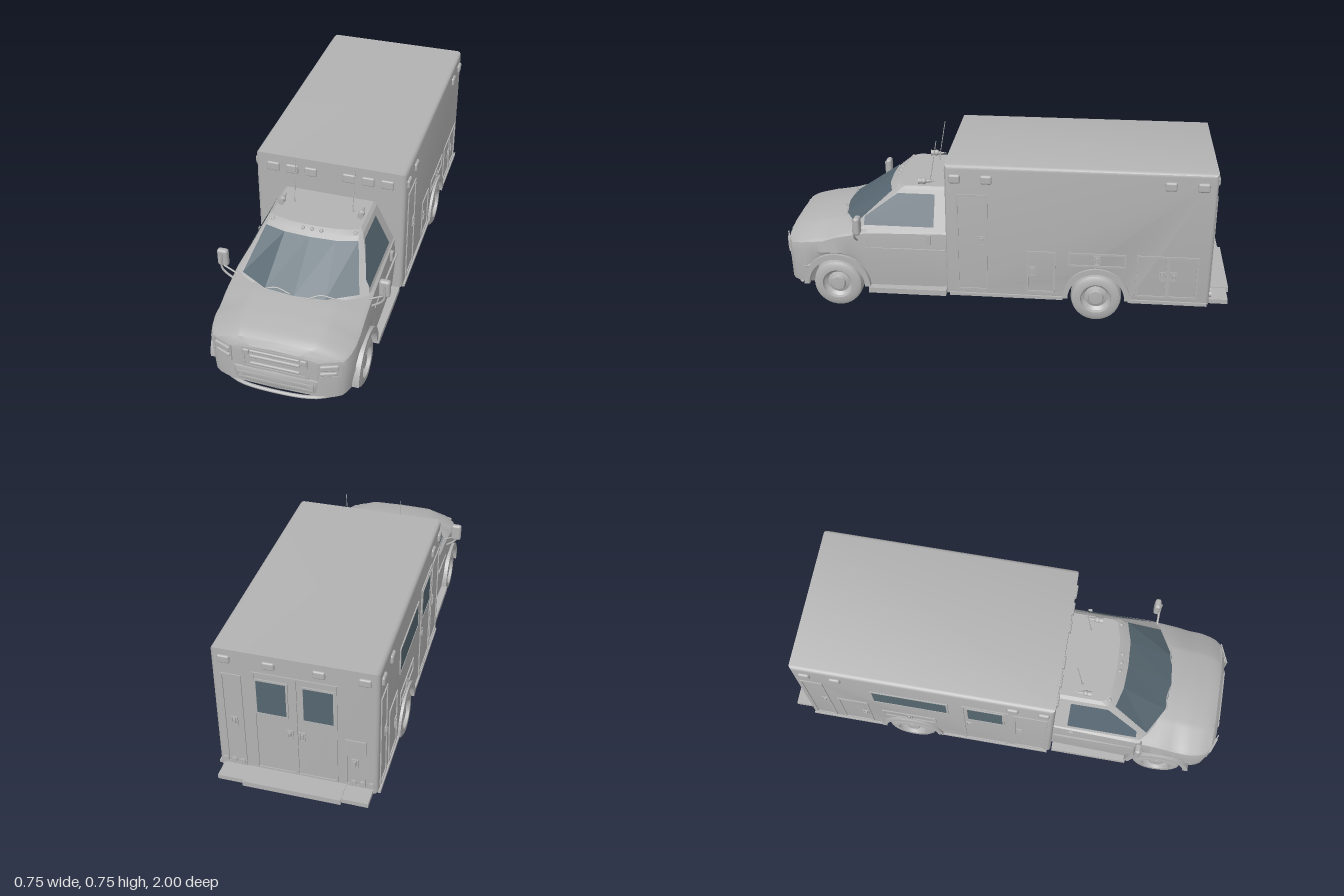
import * as THREE from 'three';
import { toCreasedNormals } from 'three/addons/utils/BufferGeometryUtils.js';
import { RoundedBoxGeometry } from 'three/addons/geometries/RoundedBoxGeometry.js';

const V = (x, y, z) => new THREE.Vector3(x, y, z);

// piecewise linear lookup in [[t, value], ...]
function lerpTable(t, table) {
  for (let i = 1; i < table.length; i++) {
    const [a, va] = table[i - 1], [b, vb] = table[i];
    if (t <= b) return va + (vb - va) * Math.max(0, (t - a) / (b - a));
  }
  return table[table.length - 1][1];
}

// half outline (first and last point on the centre line) to a closed mirrored ring
const mirrorRing = (half) => [...half, ...half.slice(1, -1).reverse().map((p) => V(-p.x, p.y, p.z))];

// skin over rings, with both ends closed
function loft(rings, crease = 0.5) {
  const pos = [];
  const tri = (...pts) => pts.forEach((p) => pos.push(p.x, p.y, p.z));
  const n = rings[0].length;
  for (let r = 0; r + 1 < rings.length; r++) {
    for (let i = 0; i < n; i++) {
      const j = (i + 1) % n, a = rings[r], b = rings[r + 1];
      tri(a[i], a[j], b[j]);
      tri(a[i], b[j], b[i]);
    }
  }
  [rings[0], rings[rings.length - 1]].forEach((ring, end) => {
    const c = ring.reduce((s, p) => s.add(p), V(0, 0, 0)).divideScalar(n);
    for (let i = 0; i < n; i++) {
      const p = ring[i], q = ring[(i + 1) % n];
      if (end) tri(c, p, q); else tri(c, q, p);
    }
  });
  const g = new THREE.BufferGeometry();
  g.setAttribute('position', new THREE.Float32BufferAttribute(pos, 3));
  return toCreasedNormals(g, crease);
}

export function createModel() {
  const model = new THREE.Group();
  const body = new THREE.MeshStandardMaterial({ color: 0xb2b2b2, side: THREE.DoubleSide });
  body.name = 'body grey';
  const glass = new THREE.MeshStandardMaterial({ color: 0x566670, side: THREE.DoubleSide });
  glass.name = 'window glass';

  const add = (name, geo, mat = body, parent = model, x = 0, y = 0, z = 0) => {
    const m = new THREE.Mesh(geo, mat);
    m.name = name;
    m.position.set(x, y, z);
    parent.add(m);
    return m;
  };
  const box = (name, w, h, d, x, y, z, parent = model, mat = body) =>
    add(name, new THREE.BoxGeometry(w, h, d), mat, parent, x, y, z);
  const pad = (name, w, h, d, x, y, z, parent = model) =>
    add(name, new RoundedBoxGeometry(w, h, d, 2, Math.min(w, h, d) * 0.4), body, parent, x, y, z);
  const tube = (name, pts, r, parent = model) =>
    add(name, new THREE.TubeGeometry(new THREE.CatmullRomCurve3(pts), 16, r, 8), body, parent);

  // rear box with open wheel arches, profile drawn along -z
  const s = new THREE.Shape();
  s.moveTo(-0.245, 0.1);
  s.lineTo(0.28, 0.1);
  s.absarc(0.415, 0.11, 0.13, Math.PI, 0, true);
  s.lineTo(0.55, 0.1);
  s.lineTo(0.905, 0.1);
  s.lineTo(0.905, 0.715);
  s.lineTo(-0.245, 0.715);
  const b = 0.018;
  const boxGeo = new THREE.ExtrudeGeometry(s, {
    depth: 0.67 - 2 * b, bevelSize: b, bevelThickness: b, bevelOffset: -b, bevelSegments: 3, curveSegments: 20 });
  boxGeo.translate(0, 0, b - 0.335).rotateY(Math.PI / 2);
  add('patientBox', toCreasedNormals(boxGeo, 0.6));

  // holders for details on each wall; local x runs to the right seen from outside
  const wall = (name, x, z, turn) => {
    const g = new THREE.Group();
    g.name = name;
    g.position.set(x, 0, z);
    g.rotation.y = turn;
    model.add(g);
    return g;
  };
  const leftWall = wall('leftWallDetails', 0.335, 0, Math.PI / 2);
  const rightWall = wall('rightWallDetails', -0.335, 0, -Math.PI / 2);
  const backWall = wall('backWallDetails', 0, -0.905, Math.PI);
  const frontWall = wall('frontWallDetails', 0, 0.245, 0);

  const frame = (name, parent, u0, u1, y0, y1, t = 0.008) => {
    const o = new THREE.Shape([[u0, y0], [u1, y0], [u1, y1], [u0, y1]].map((p) => new THREE.Vector2(...p)));
    o.holes.push(new THREE.Path([[u0 + t, y0 + t], [u0 + t, y1 - t], [u1 - t, y1 - t], [u1 - t, y0 + t]]
      .map((p) => new THREE.Vector2(...p))));
    add(name, new THREE.ExtrudeGeometry(o, { depth: 0.005, bevelEnabled: false }), body, parent);
  };
  const door = (parent, u0, u1, y0, y1, hu, hy) => {
    frame('doorFrame', parent, u0, u1, y0, y1);
    frame('handleFrame', parent, hu - 0.014, hu + 0.014, hy - 0.022, hy + 0.022, 0.006);
    box('handle', 0.01, 0.025, 0.01, hu, hy, 0.004, parent);
  };
  const pane = (parent, u0, u1, y0, y1) => {
    frame('windowFrame', parent, u0 - 0.008, u1 + 0.008, y0 - 0.008, y1 + 0.008);
    box('windowPane', u1 - u0, y1 - y0, 0.006, (u0 + u1) / 2, (y0 + y1) / 2, 0, parent, glass);
  };

  // left wall lockers
  door(leftWall, -0.195, -0.06, 0.13, 0.585, -0.085, 0.37);
  door(leftWall, 0.11, 0.235, 0.13, 0.33, 0.135, 0.235);
  door(leftWall, 0.29, 0.54, 0.265, 0.33, 0.415, 0.298);
  door(leftWall, 0.585, 0.72, 0.13, 0.33, 0.695, 0.235);
  door(leftWall, 0.72, 0.85, 0.13, 0.33, 0.745, 0.235);
  // right wall lockers, side door and windows
  door(rightWall, 0.07, 0.22, 0.13, 0.585, 0.095, 0.37);
  door(rightWall, -0.16, 0.045, 0.12, 0.6, -0.135, 0.35);
  pane(rightWall, -0.135, 0.02, 0.43, 0.57);
  pane(rightWall, -0.56, -0.23, 0.46, 0.575);
  door(rightWall, -0.54, -0.29, 0.265, 0.33, -0.415, 0.298);
  door(rightWall, -0.74, -0.6, 0.13, 0.4, -0.625, 0.25);
  door(rightWall, -0.88, -0.78, 0.13, 0.58, -0.8, 0.36);
  // back doors, windows and lockers
  door(backWall, -0.17, 0, 0.13, 0.63, -0.025, 0.34);
  door(backWall, 0, 0.17, 0.13, 0.63, 0.025, 0.34);
  pane(backWall, -0.155, -0.035, 0.43, 0.59);
  pane(backWall, 0.035, 0.155, 0.43, 0.59);
  door(backWall, -0.3, -0.215, 0.13, 0.6, -0.255, 0.36);
  door(backWall, 0.2, 0.285, 0.13, 0.37, 0.24, 0.25);

  // warning lamps and tail lamps
  for (const side of [leftWall, rightWall])
    for (const u of [-0.2, -0.065, 0.71, 0.845])
      pad('sideLamp', 0.05, 0.04, 0.022, side === leftWall ? u : -u, 0.655, 0, side);
  for (const u of [0.085, 0.17, 0.255])
    for (const m of [-1, 1]) pad('frontLamp', 0.055, 0.042, 0.016, m * u, 0.655, 0, frontWall);
  for (const u of [-0.28, -0.1, 0.1, 0.28]) pad('rearLamp', 0.05, 0.035, 0.018, u, 0.67, 0, backWall);
  for (const m of [-1, 1]) {
    for (let i = 0; i < 3; i++)
      add('tailLamp', new THREE.CylinderGeometry(0.014, 0.014, 0.012, 14).rotateX(Math.PI / 2), body, backWall,
        m * (0.235 + i * 0.036), 0.145, 0.004);
    box('sideTrim', 0.012, 0.014, 0.5, m * 0.337, 0.107, -0.02);
    box('rearTrim', 0.012, 0.014, 0.34, m * 0.337, 0.107, -0.725);
  }

  // rear step
  box('rearStep', 0.63, 0.02, 0.085, 0, 0.113, -0.945);
  box('rearStepCentre', 0.41, 0.024, 0.1, 0, 0.114, -0.95);

  // cab lower body and hood: sections along z, underside rising over the wheels
  const arch = 0.135, wheelZ = 0.745;
  const stations = [0.24, 0.42, 0.6];
  for (let i = 0; i <= 14; i++) stations.push(wheelZ - arch * Math.cos((i / 14) * Math.PI));
  stations.push(0.905, 0.93, 0.95, 0.967, 0.978, 0.985);
  add('cabBody', loft(stations.map((z) => {
    const w = lerpTable(z, [[0.24, 0.3], [0.6, 0.308], [0.86, 0.308], [0.92, 0.298], [0.95, 0.28], [0.97, 0.25], [0.985, 0.19]]);
    const top = lerpTable(z, [[0.24, 0.392], [0.74, 0.388], [0.85, 0.37], [0.94, 0.35], [0.967, 0.337], [0.985, 0.308]]);
    const low = 0.11 + Math.sqrt(Math.max(0, arch * arch - (z - wheelZ) ** 2));
    const drop = lerpTable(z, [[0.24, 0.01], [0.6, 0.012], [0.8, 0.05], [0.95, 0.04], [0.985, 0.014]]);
    return mirrorRing([[0, low], [w - 0.012, low], [w, 0.265], [w - 0.008, top - drop - 0.012], [w * 0.92, top - drop],
      [w * 0.62, top - drop * 0.2], [w * 0.54, top], [0, top + 0.003]].map(([x, y]) => V(x, y, z)));
  })));

  // cab upper: rings going up from belt line to roof
  const belt = [[0, 0.75], [0.13, 0.737], [0.255, 0.665], [0.288, 0.635], [0.288, 0.24], [0, 0.24]];
  const eave = [[0, 0.505], [0.11, 0.5], [0.197, 0.48], [0.21, 0.46], [0.21, 0.24], [0, 0.24]];
  const y0 = 0.38, y1 = 0.545;
  const at = (i, v) => V(belt[i][0] + (eave[i][0] - belt[i][0]) * v, y0 + (y1 - y0) * v, belt[i][1] + (eave[i][1] - belt[i][1]) * v);
  const ringAt = (v) => mirrorRing(belt.map((_, i) => at(i, v)));
  const roof = mirrorRing(eave.map(([x, z]) => V(x * 0.93, 0.557, z > 0.3 ? z - 0.025 : z)));
  add('cabUpper', loft([ringAt(0), ringAt(1), roof], 0.35));

  // windshield strips, just proud of the cab surface
  const strip = [];
  const edge = [2, 1, 0, 1, 2];
  for (let k = 0; k < 4; k++) {
    const p = (q, v) => at(edge[q], v).multiply(V(q < 2 ? -1 : 1, 1, 1)).add(V(0, 0.002, 0.004));
    const [a, c, d, e] = [p(k, 0.05), p(k + 1, 0.05), p(k + 1, 0.92), p(k, 0.92)];
    [a, c, d, a, d, e].forEach((q) => strip.push(q.x, q.y, q.z));
  }
  const shield = new THREE.BufferGeometry();
  shield.setAttribute('position', new THREE.Float32BufferAttribute(strip, 3));
  shield.computeVertexNormals();
  add('windshield', shield, glass);
  for (const x of [-0.13, 0.06])
    tube('wiper', [V(x, 0.395, 0.745), V(x + 0.05, 0.405, 0.728), V(x + 0.11, 0.395, 0.73)].map((p) =>
      V(p.x, p.y, p.z - 0.14 * Math.abs(p.x) + 0.012)), 0.003);

  // rolling parts
  const tyre = [[0.045, -0.03], [0.06, -0.045], [0.09, -0.045], [0.106, -0.036], [0.111, -0.015],
    [0.111, 0.015], [0.106, 0.036], [0.09, 0.045], [0.068, 0.045], [0.064, 0.03], [0.05, 0.018],
    [0.034, 0.024], [0.03, 0.036], [0, 0.038]].map(([r, h]) => new THREE.Vector2(r, h));
  const wheelGeo = toCreasedNormals(new THREE.LatheGeometry(tyre, 36), 0.6);
  const flare = (r) => {
    const f = new THREE.Shape();
    f.absarc(0, 0, r + 0.018, 0, Math.PI, false);
    f.absarc(0, 0, r - 0.006, Math.PI, 0, true);
    return new THREE.ExtrudeGeometry(f, { depth: 0.03, bevelEnabled: false, curveSegments: 20 })
      .translate(0, 0, -0.015).rotateY(Math.PI / 2);
  };
  const sideGlass = [[0.615, 0.398], [0.305, 0.398], [0.305, 0.53], [0.47, 0.53], [0.612, 0.433]];
  for (const m of [-1, 1]) {
    for (const [x, z] of [[0.268, wheelZ], [0.296, -0.415], [0.205, -0.415]])
      add('wheel', wheelGeo, body, model, m * x, 0.111, z).rotation.z = -m * Math.PI / 2;
    add('frontFenderFlare', flare(0.133), body, model, m * 0.305, 0.11, wheelZ);
    add('rearFenderFlare', flare(0.13), body, model, m * 0.332, 0.11, -0.415);

    // door glass following the leaning cab side
    const g = new THREE.ShapeGeometry(new THREE.Shape(sideGlass.map((p) => new THREE.Vector2(...p))));
    const p = g.attributes.position;
    for (let i = 0; i < p.count; i++) {
      const z = p.getX(i), y = p.getY(i);
      p.setXYZ(i, m * (0.288 - 0.078 * (y - y0) / (y1 - y0) + 0.004), y, z);
    }
    g.computeVertexNormals();
    add('doorGlass', g, glass);
    box('doorHandle', 0.012, 0.045, 0.018, m * 0.302, 0.345, 0.325);
    box('doorMoulding', 0.008, 0.008, 0.36, m * 0.305, 0.295, 0.43);
    box('runningBoard', 0.07, 0.025, 0.35, m * 0.29, 0.095, 0.425);

    // mirrors on bent arms
    pad('mirrorHead', 0.048, 0.082, 0.028, m * 0.35, 0.425, 0.628);
    tube('mirrorArm', [V(m * 0.35, 0.45, 0.645), V(m * 0.35, 0.375, 0.645), V(m * 0.285, 0.32, 0.645)], 0.005);
    tube('mirrorBrace', [V(m * 0.345, 0.39, 0.64), V(m * 0.28, 0.36, 0.645)], 0.004);

    // headlamp cluster
    const lamp = new THREE.Group();
    lamp.name = 'headlamp';
    lamp.position.set(m * 0.222, 0, 0.974);
    lamp.rotation.y = m * 0.38;
    model.add(lamp);
    frame('headlampFrame', lamp, -0.048, 0.048, 0.22, 0.302, 0.008);
    pad('headlampLens', 0.076, 0.028, 0.016, 0, 0.272, 0.002, lamp);
    pad('turnLens', 0.07, 0.018, 0.016, -m * 0.003, 0.241, 0.002, lamp);

    // roof gear
    tube('antenna', [V(m * 0.13, 0.555, 0.34), V(m * 0.13, 0.745, 0.308)], 0.0018);
    add('antennaBase', new THREE.ConeGeometry(0.007, 0.025, 10), body, model, m * 0.13, 0.566, 0.339);
    add('spotlight', new THREE.SphereGeometry(0.014, 14, 10), body, model, m * 0.175, 0.573, 0.36);
    add('spotlightHorn', new THREE.ConeGeometry(0.014, 0.08, 12).rotateX(-Math.PI / 2), body, model, m * 0.175, 0.572, 0.345);
    add('spotlightPost', new THREE.CylinderGeometry(0.004, 0.006, 0.03, 8), body, model, m * 0.175, 0.56, 0.36);
  }
  for (const x of [-0.18, -0.04, 0, 0.04, 0.18])
    add('clearanceLamp', new THREE.SphereGeometry(0.009, 10, 8), body, model, x, 0.548, x * x > 0.01 ? 0.47 : 0.495);

  // grille
  const nose = wall('grille', 0, 0.983, 0);
  frame('grilleFrame', nose, -0.138, 0.138, 0.195, 0.302, 0.012);
  for (const y of [0.222, 0.26, 0.287]) pad('grilleBar', 0.21, 0.013, 0.014, 0, y, 0.003, nose);
  for (const x of [-0.12, 0.12]) pad('grilleLamp', 0.028, 0.026, 0.014, x, 0.28, 0.003, nose);

  // front bumper with lamp strip and push bar
  const bumper = [[0, 0.993], [0.17, 0.988], [0.25, 0.962], [0.29, 0.92], [0.303, 0.872], [0, 0.872]];
  add('frontBumper', loft([[0.1, 0.9, -0.012], [0.13, 0.95, 0], [0.19, 1, 0], [0.203, 0.985, -0.008]].map(([y, k, dz]) =>
    mirrorRing(bumper.map(([x, z]) => V(x * k, y, z + dz)))), 0.6));
  frame('bumperSlot', wall('bumperInset', 0, 0.99, 0), -0.16, 0.16, 0.138, 0.17, 0.006);
  for (const x of [-0.145, 0.145]) pad('bumperLamp', 0.028, 0.026, 0.014, x, 0.154, 0.986);
  tube('pushBar', [V(-0.255, 0.09, 0.925), V(-0.16, 0.09, 0.975), V(0, 0.09, 0.99), V(0.16, 0.09, 0.975), V(0.255, 0.09, 0.925)], 0.008);

  // chassis below
  for (const m of [-1, 1]) box('chassisRail', 0.04, 0.05, 1.75, m * 0.125, 0.11, 0.03);
  box('engineTray', 0.34, 0.14, 0.36, 0, 0.18, 0.745);
  box('frontAxle', 0.36, 0.035, 0.05, 0, 0.078, wheelZ);
  add('rearAxle', new THREE.CylinderGeometry(0.025, 0.025, 0.36, 12).rotateZ(Math.PI / 2), body, model, 0, 0.1, -0.415);
  return model;
}
